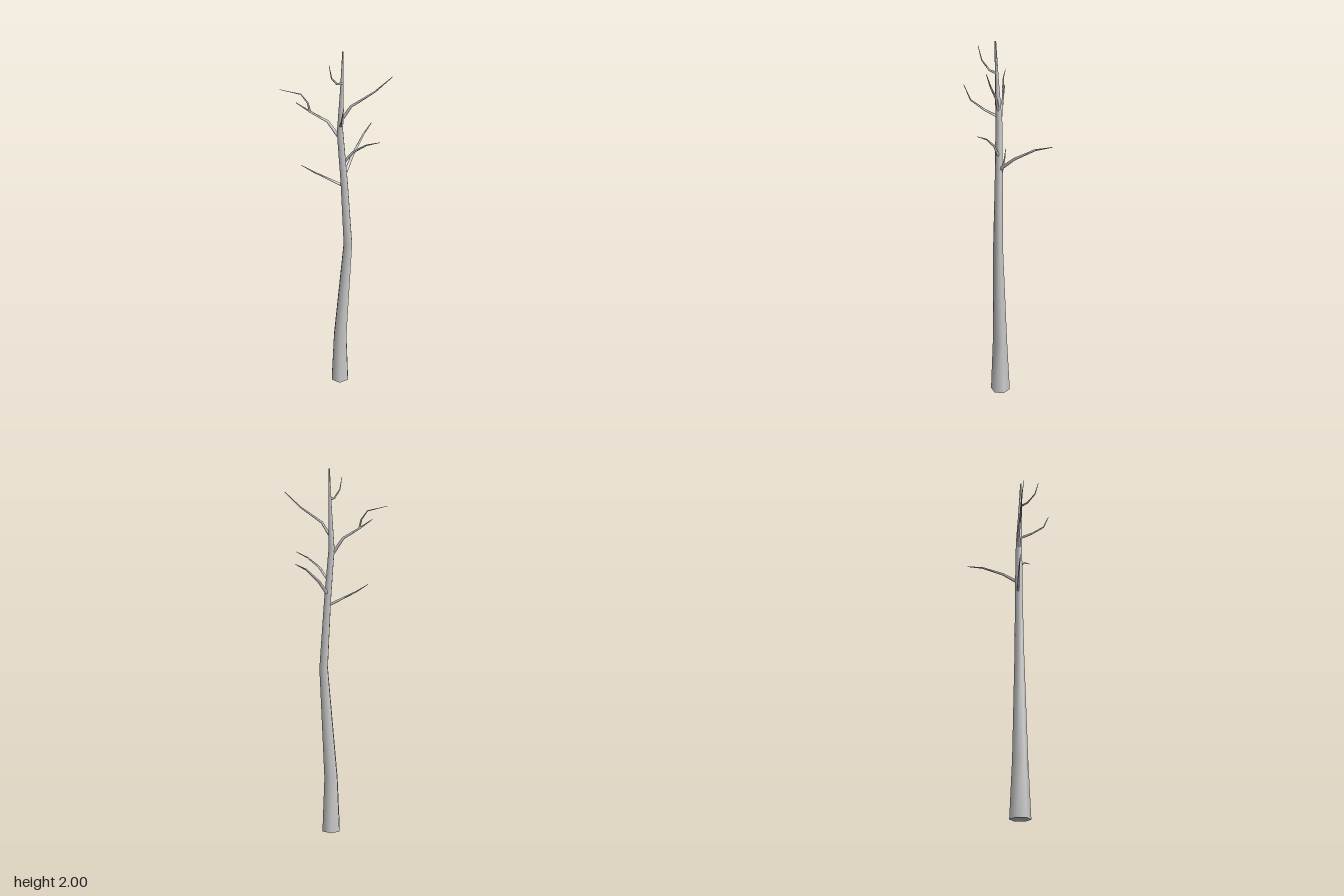
import * as THREE from 'three';

const material = new THREE.MeshStandardMaterial({ color: 0xcccccc });

// Smooth tapered limb: rings around a list of [x, y, z, radius], with flat end caps.
function limb(name, points, sides, ref, fixedTangent) {
  const centres = points.map(p => new THREE.Vector3(p[0], p[1], p[2]));
  const last = points.length - 1;
  const position = [], index = [];
  const ring = i => {
    const t = fixedTangent ?? centres[Math.min(i + 1, last)].clone().sub(centres[Math.max(i - 1, 0)]).normalize();
    const u = new THREE.Vector3().crossVectors(ref, t).normalize();
    const v = new THREE.Vector3().crossVectors(t, u);
    const start = position.length / 3;
    for (let k = 0; k < sides; k++) {
      const a = (k + 0.5) / sides * Math.PI * 2;
      const p = centres[i].clone()
        .addScaledVector(u, Math.cos(a) * points[i][3])
        .addScaledVector(v, Math.sin(a) * points[i][3]);
      position.push(p.x, p.y, p.z);
    }
    return start;
  };

  // Side walls
  const starts = points.map((_, i) => ring(i));
  for (let i = 0; i < last; i++) {
    for (let k = 0; k < sides; k++) {
      const n = (k + 1) % sides;
      const a = starts[i] + k, b = starts[i] + n, c = starts[i + 1] + n, d = starts[i + 1] + k;
      index.push(a, b, c, a, c, d);
    }
  }
  // End caps use their own vertices so the rims stay sharp
  const bottom = ring(0), top = ring(last);
  for (let k = 1; k < sides - 1; k++) {
    index.push(bottom, bottom + k + 1, bottom + k);
    index.push(top, top + k, top + k + 1);
  }

  const geometry = new THREE.BufferGeometry();
  geometry.setAttribute('position', new THREE.Float32BufferAttribute(position, 3));
  geometry.setIndex(index);
  geometry.computeVertexNormals();
  const mesh = new THREE.Mesh(geometry, material);
  mesh.name = name;
  return mesh;
}

export function createModel() {
  const tree = new THREE.Group();
  tree.name = 'bareTree';
  const Y = new THREE.Vector3(0, 1, 0), Z = new THREE.Vector3(0, 0, 1);

  // Bent six-sided trunk
  tree.add(limb('trunk', [
    [0.025, 0, 0.055, 0.055],
    [0.026, 0.31, 0.056, 0.041],
    [0.066, 0.93, 0.058, 0.026],
    [0.044, 1.30, 0.055, 0.021],
    [0.022, 1.58, 0.056, 0.018],
    [0.030, 1.80, 0.064, 0.010],
    [0.035, 2.00, 0.070, 0.004],
  ], 6, Z, Y));

  // Branches: base radius, then path points from trunk to tip
  const branches = {
    lowerRightBranch: [0.008, [0.040, 1.275, 0.05], [-0.03, 1.31, 0.048], [-0.11, 1.35, 0.046], [-0.175, 1.39, 0.048]],
    backBranch: [0.010, [0.046, 1.34, 0.05], [0.085, 1.41, -0.03], [0.143, 1.48, -0.145], [0.187, 1.51, -0.234]],
    lowerLeftBranch: [0.008, [0.040, 1.41, 0.055], [0.09, 1.48, 0.073], [0.155, 1.53, 0.10], [0.22, 1.56, 0.135]],
    upperRightBranch: [0.010, [0.018, 1.55, 0.055], [-0.04, 1.635, 0.052], [-0.13, 1.69, 0.055], [-0.195, 1.735, 0.055]],
    upperRightTwig: [0.006, [-0.127, 1.69, 0.055], [-0.137, 1.735, 0.057], [-0.17, 1.78, 0.059], [-0.275, 1.805, 0.061]],
    frontBranch: [0.008, [0.024, 1.615, 0.06], [0.026, 1.65, 0.13], [0.031, 1.70, 0.20], [0.042, 1.78, 0.232]],
    upperLeftBranch: [0.009, [0.028, 1.645, 0.058], [0.075, 1.72, 0.062], [0.19, 1.80, 0.071], [0.274, 1.88, 0.079]],
    topBranch: [0.007, [0.033, 1.84, 0.066], [0.008, 1.85, 0.105], [-0.018, 1.895, 0.148], [-0.029, 1.965, 0.168]],
  };
  const taper = [1, 0.75, 0.5, 0.18];
  for (const [name, [radius, ...path]] of Object.entries(branches)) {
    tree.add(limb(name, path.map((p, i) => [...p, radius * taper[i]]), 5, Y));
  }
  return tree;
}
